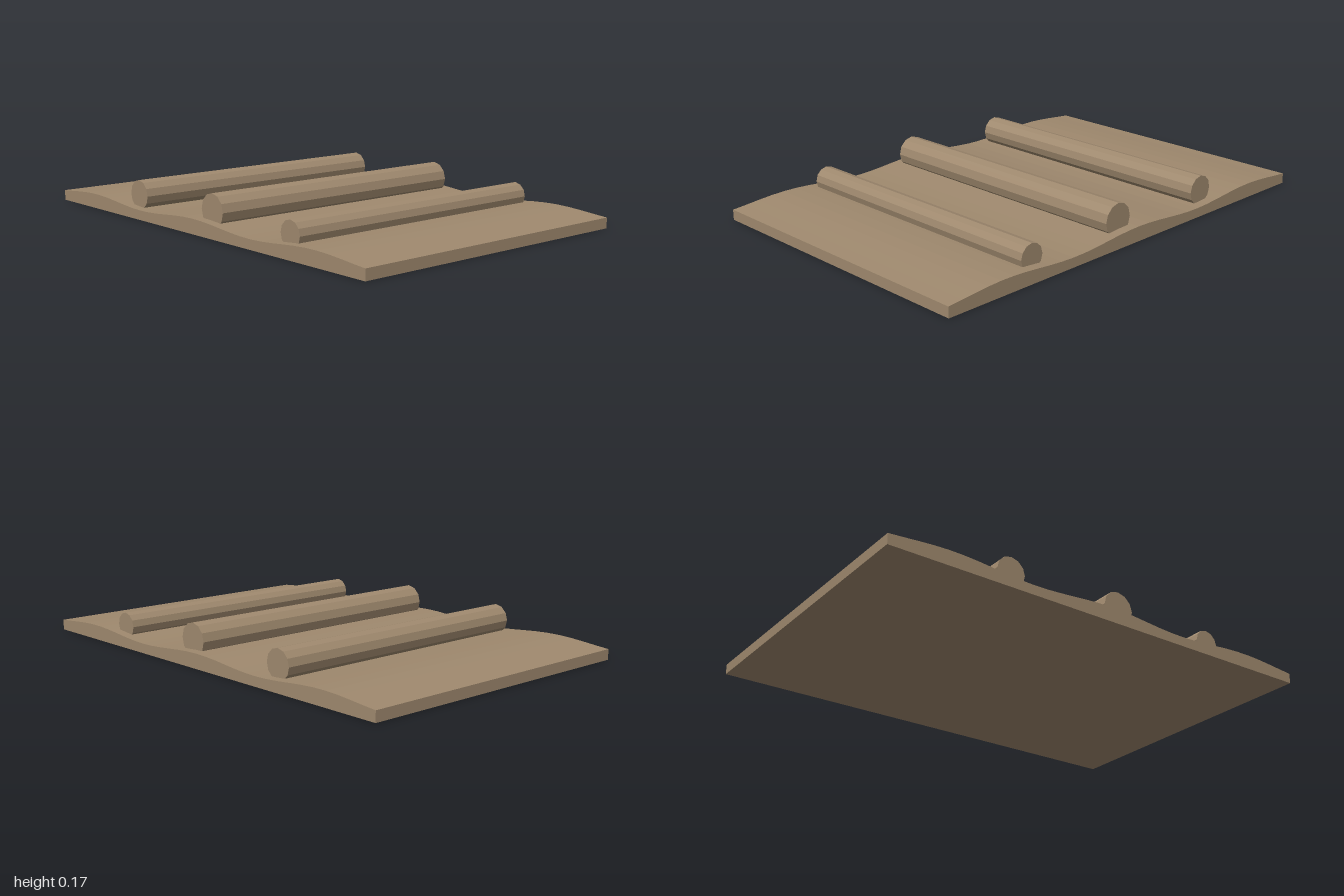
import * as THREE from 'three';

export function createModel() {
  const group = new THREE.Group();
  const earth = new THREE.MeshStandardMaterial({ color: 0x9f896e });
  earth.name = 'earthBrown';

  // Rippled slab: side profile with a wavy top, extruded across the width
  const width = 1.33, steps = 32;
  const profile = new THREE.Shape();
  profile.moveTo(-1, 0);
  profile.lineTo(1, 0);
  for (let i = 0; i <= steps; i++) {
    const z = 1 - (2 * i) / steps;
    profile.lineTo(z, 0.052 + 0.011 * Math.cos((2 * Math.PI * z) / 0.73));
  }
  profile.closePath();
  const slabGeometry = new THREE.ExtrudeGeometry(profile, { depth: width, bevelEnabled: false });
  slabGeometry.translate(0, 0, -width / 2);
  slabGeometry.rotateY(-Math.PI / 2);
  const slab = new THREE.Mesh(slabGeometry, earth);
  slab.name = 'rippledGround';
  group.add(slab);

  // Logs lying across the slab, partly sunk in: [name, z, y, radius]
  const logs = [
    ['backLog', -0.445, 0.093, 0.063],
    ['middleLog', 0.077, 0.1, 0.07],
    ['frontLog', 0.555, 0.083, 0.055],
  ];
  const logMaterial = earth.clone();
  logMaterial.name = 'logBrown';
  logMaterial.flatShading = true;
  for (const [name, z, y, radius] of logs) {
    const geometry = new THREE.CylinderGeometry(radius, radius, 1.244, 12);
    geometry.rotateZ(Math.PI / 2);
    const log = new THREE.Mesh(geometry, logMaterial);
    log.name = name;
    log.position.set(0, y, z);
    group.add(log);
  }

  return group;
}
